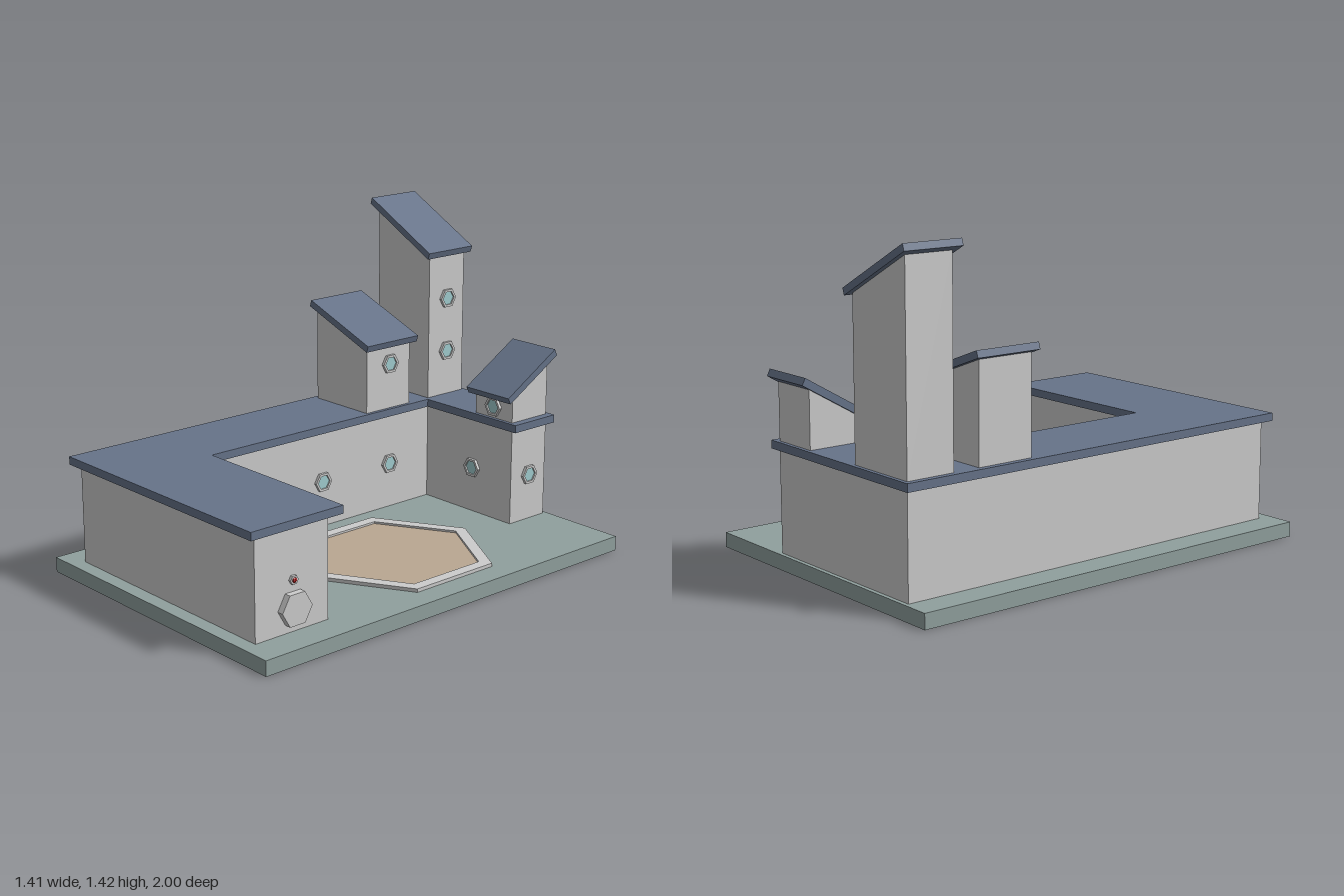
import * as THREE from 'three';

const mat = (color) => new THREE.MeshStandardMaterial({ color, flatShading: true });

export function createModel() {
  const model = new THREE.Group();
  const grey = mat(0xcccccc), roofBlue = mat(0x667389), ground = mat(0x90a09e);
  const sand = mat(0xbaa792), glass = mat(0xa0cccf), red = mat(0xb02020);

  const add = (name, geometry, material, parent = model) => {
    const mesh = new THREE.Mesh(geometry, material);
    mesh.name = name;
    parent.add(mesh);
    return mesh;
  };
  const polygon = (pts) => new THREE.Shape(pts.map(([x, y]) => new THREE.Vector2(x, y)));
  const extrude = (shape, depth) => new THREE.ExtrudeGeometry(shape, { depth, bevelEnabled: false });

  // Regular hexagon; turn = 0 puts corners left and right
  const hexagon = (r, turn = 0) => polygon(Array.from({ length: 6 }, (_, i) => {
    const a = turn + i * Math.PI / 3;
    return [r * Math.cos(a), r * Math.sin(a)];
  }));
  const hexRing = (r, inner, turn = 0) => {
    const shape = hexagon(r, turn);
    shape.holes.push(hexagon(inner, turn));
    return shape;
  };
  // Floor plan given as [x, z], raised from y0 to y1
  const plan = (pts, y0, y1) =>
    extrude(polygon(pts.map(([x, z]) => [x, -z])), y1 - y0).rotateX(-Math.PI / 2).translate(0, y0, 0);
  // U-shaped plan with three wings
  const uPlan = (left, inner, front, frontIn, backIn, back, frontEnd, backEnd) => [
    [left, front], [frontEnd, front], [frontEnd, frontIn], [inner, frontIn],
    [inner, backIn], [backEnd, backIn], [backEnd, back], [left, back],
  ];

  // Base and the three joined wings
  add('basePlate', new THREE.BoxGeometry(1.41, 0.065, 1.978).translate(0, 0.0325, 0.011), ground);
  add('wingWalls', plan(uPlan(-0.58, -0.245, 0.936, 0.572, -0.743, -0.96, 0.563, 0.288), 0.065, 0.5), grey);
  add('wingRoof', plan(uPlan(-0.605, -0.228, 0.977, 0.522, -0.726, -0.977, 0.597, 0.323), 0.5, 0.535), roofBlue);

  // Tower with sloped top: wall and roof profiles are extruded from w0 to w1
  const tower = (name, wall, wallW, roof, roofW) => {
    const group = new THREE.Group();
    group.name = name;
    const prism = (pts, [w0, w1]) => extrude(polygon(pts), w1 - w0).translate(0, 0, w0);
    const [[u0, h0], [u1, h1]] = wall;
    add('towerWalls', prism([[u0, 0.53], [u1, 0.53], [u1, h1], [u0, h0]], wallW), grey, group);
    add('slopedRoof', prism(roof, roofW), roofBlue, group);
    model.add(group);
    return group;
  };
  tower('tallTower', [[-0.58, 1.385], [-0.245, 1.207]], [-0.96, -0.743],
    [[-0.613, 1.392], [-0.229, 1.189], [-0.22, 1.217], [-0.604, 1.42]], [-0.987, -0.717]);
  tower('middleTower', [[-0.58, 0.96], [-0.245, 0.838]], [-0.622, -0.363],
    [[-0.613, 0.965], [-0.229, 0.822], [-0.22, 0.851], [-0.604, 0.994]], [-0.652, -0.347]);
  // Profile runs backward, so turn it to slope along z
  tower('smallTower', [[0.743, 0.663], [0.96, 0.79]], [0.064, 0.287],
    [[0.708, 0.632], [1.0, 0.803], [0.986, 0.832], [0.694, 0.66]], [0.05, 0.307])
    .rotation.y = Math.PI / 2;

  // Hexagonal windows: [x, y, z, faces +x]
  const side = -0.245;
  const windows = [
    [side, 0.273, 0.29, true], [side, 0.273, -0.1, true], [side, 0.273, -0.5, true],
    [0.288, 0.275, -0.855, true],
    [side, 0.99, -0.855, true], [side, 0.743, -0.855, true], [side, 0.743, -0.5, true],
    [0.175, 0.588, -0.743, false], [0.05, 0.273, -0.743, false],
  ];
  const addWindow = (x, y, z, turn) => {
    const group = new THREE.Group();
    group.name = 'window';
    add('windowFrame', extrude(hexRing(0.046, 0.034), 0.013), grey, group);
    add('windowPane', extrude(hexagon(0.034), 0.006), glass, group);
    group.position.set(x, y, z);
    group.rotation.y = turn;
    model.add(group);
  };
  windows.forEach(([x, y, z, facesX]) => addWindow(x, y, z, facesX ? Math.PI / 2 : 0));
  // Courtyard window of the front wing, facing back
  addWindow(0.16, 0.273, 0.572, Math.PI);

  // Door and lamp on the end of the front wing
  const onEnd = (geometry, y) => geometry.rotateY(Math.PI / 2).translate(0.563, y, 0.75);
  add('door', onEnd(extrude(hexagon(0.075), 0.029), 0.165), grey);
  add('lampRing', onEnd(extrude(hexRing(0.02, 0.012), 0.012), 0.28), grey);
  add('lamp', onEnd(new THREE.SphereGeometry(0.013, 8, 6).translate(0, 0, 0.006), 0.28), red);

  // Hexagonal sand court with raised rim
  const court = new THREE.Group();
  court.name = 'court';
  const flat = (shape, depth) => extrude(shape, depth).rotateX(-Math.PI / 2);
  add('courtRim', flat(hexRing(0.432, 0.375, Math.PI / 6), 0.016), grey, court);
  add('courtSand', flat(hexagon(0.375, Math.PI / 6), 0.007), sand, court);
  court.position.set(0.222, 0.064, -0.095);
  model.add(court);

  return model;
}
